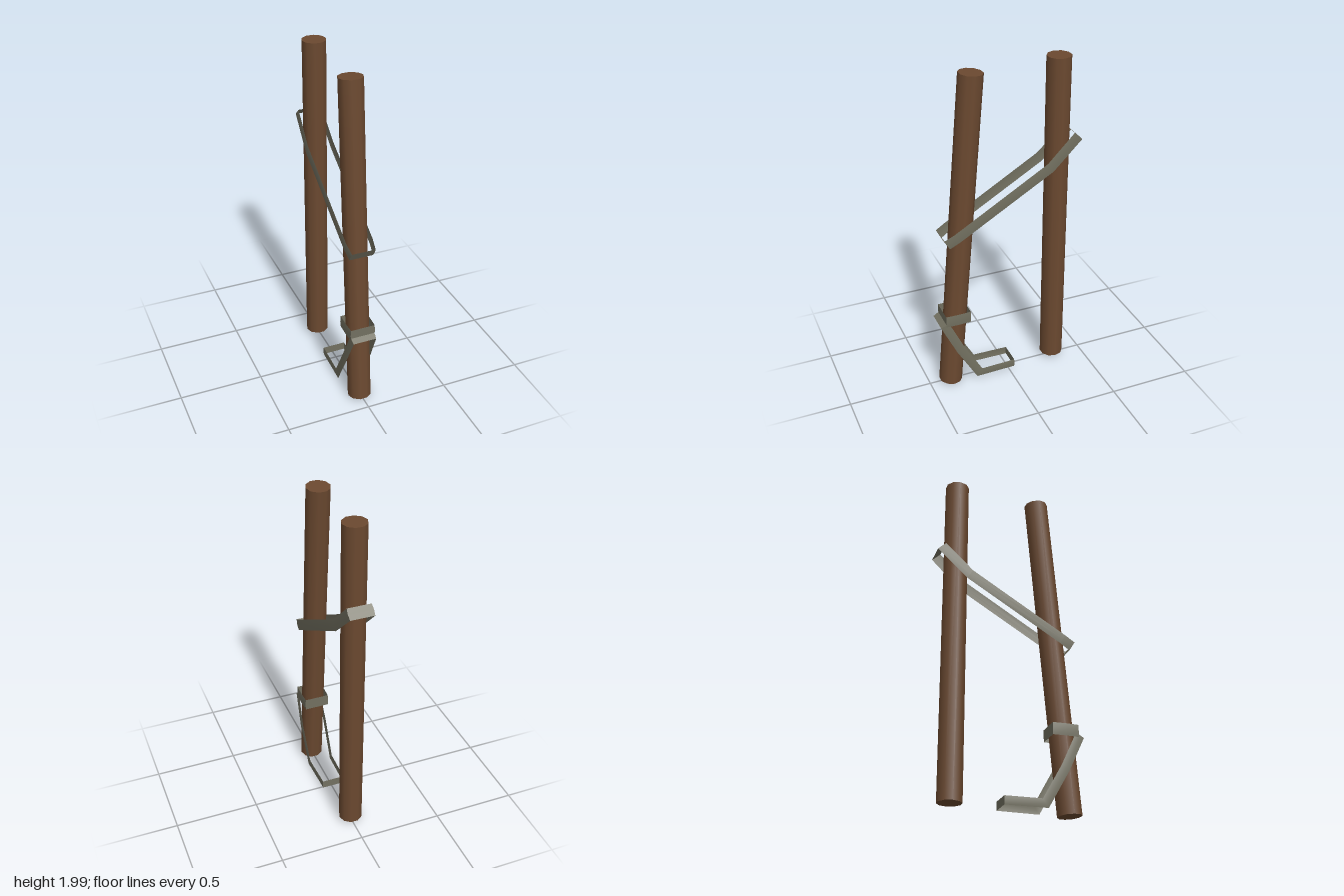
import * as THREE from 'three';
import { toCreasedNormals } from 'three/addons/utils/BufferGeometryUtils.js';

const bark = new THREE.MeshStandardMaterial({ color: 0x6b4930 });
bark.name = 'brown wood';
const cloth = new THREE.MeshStandardMaterial({ color: 0x727060, side: THREE.DoubleSide });
cloth.name = 'grey green strap';

// Ten-sided pole between two points in the x = 0 plane
function pole(name, bottom, top) {
  const a = new THREE.Vector3(-0.002, ...bottom);
  const b = new THREE.Vector3(-0.002, ...top);
  const dir = b.clone().sub(a);
  const geo = new THREE.CylinderGeometry(0.07, 0.07, dir.length(), 10);
  geo.rotateY(Math.PI / 10);
  const mesh = new THREE.Mesh(geo, bark);
  mesh.name = name;
  mesh.quaternion.setFromUnitVectors(new THREE.Vector3(0, 1, 0), dir.normalize());
  mesh.position.copy(a).add(b).multiplyScalar(0.5);
  return mesh;
}

// Closed strap loop. Each station: [half x, upper z, upper y, lower z, lower y],
// listed front to back along one side and mirrored for the other.
function strap(name, stations) {
  const ring = [
    ...stations.map((s) => [1, s]),
    ...stations.slice().reverse().map((s) => [-1, s]),
  ];
  const bow = 0.003;
  const rows = ring.map(([side, [x, uz, uy, lz, ly]]) => [
    [side * x - 0.002, uy, uz],
    [side * (x + bow) - 0.002, (uy + ly) / 2, (uz + lz) / 2],
    [side * x - 0.002, ly, lz],
  ]);
  const pos = rows.flat(2);
  const index = [];
  for (let i = 0; i < rows.length; i++) {
    const j = (i + 1) % rows.length;
    for (let k = 0; k < 2; k++) {
      const a = i * 3 + k, b = j * 3 + k;
      index.push(a, b, a + 1, b, b + 1, a + 1);
    }
  }
  const geo = new THREE.BufferGeometry();
  geo.setAttribute('position', new THREE.Float32BufferAttribute(pos, 3));
  geo.setIndex(index);
  const mesh = new THREE.Mesh(toCreasedNormals(geo, 0.8), cloth);
  mesh.name = name;
  return mesh;
}

export function createModel() {
  const group = new THREE.Group();
  group.name = 'strappedPoles';

  // Upright and leaning poles
  group.add(pole('backPole', [0.03, -0.312], [2, -0.312]));
  group.add(pole('frontPole', [0.013, 0.367], [1.975, 0.197]));

  // Long strap tying the poles together
  group.add(strap('upperStrap', [
    [0.07, 0.4, 1.033, 0.366, 0.977],
    [0.078, 0.34, 1.066, 0.306, 1.012],
    [0.078, -0.225, 1.4, -0.26, 1.345],
    [0.07, -0.388, 1.558, -0.437, 1.512],
  ]));

  // Collar round the front pole
  group.add(strap('collar', [
    [0.073, 0.405, 0.522, 0.405, 0.45],
    [0.076, 0.33, 0.522, 0.33, 0.45],
    [0.073, 0.252, 0.522, 0.252, 0.45],
  ]));

  // Hanging foot loop
  group.add(strap('footLoop', [
    [0.07, 0.39, 0.475, 0.437, 0.448],
    [0.078, 0.298, 0.28, 0.343, 0.25],
    [0.074, 0.185, 0.08, 0.218, 0.03],
    [0.068, -0.03, 0.08, -0.03, 0.03],
  ]));

  return group;
}
